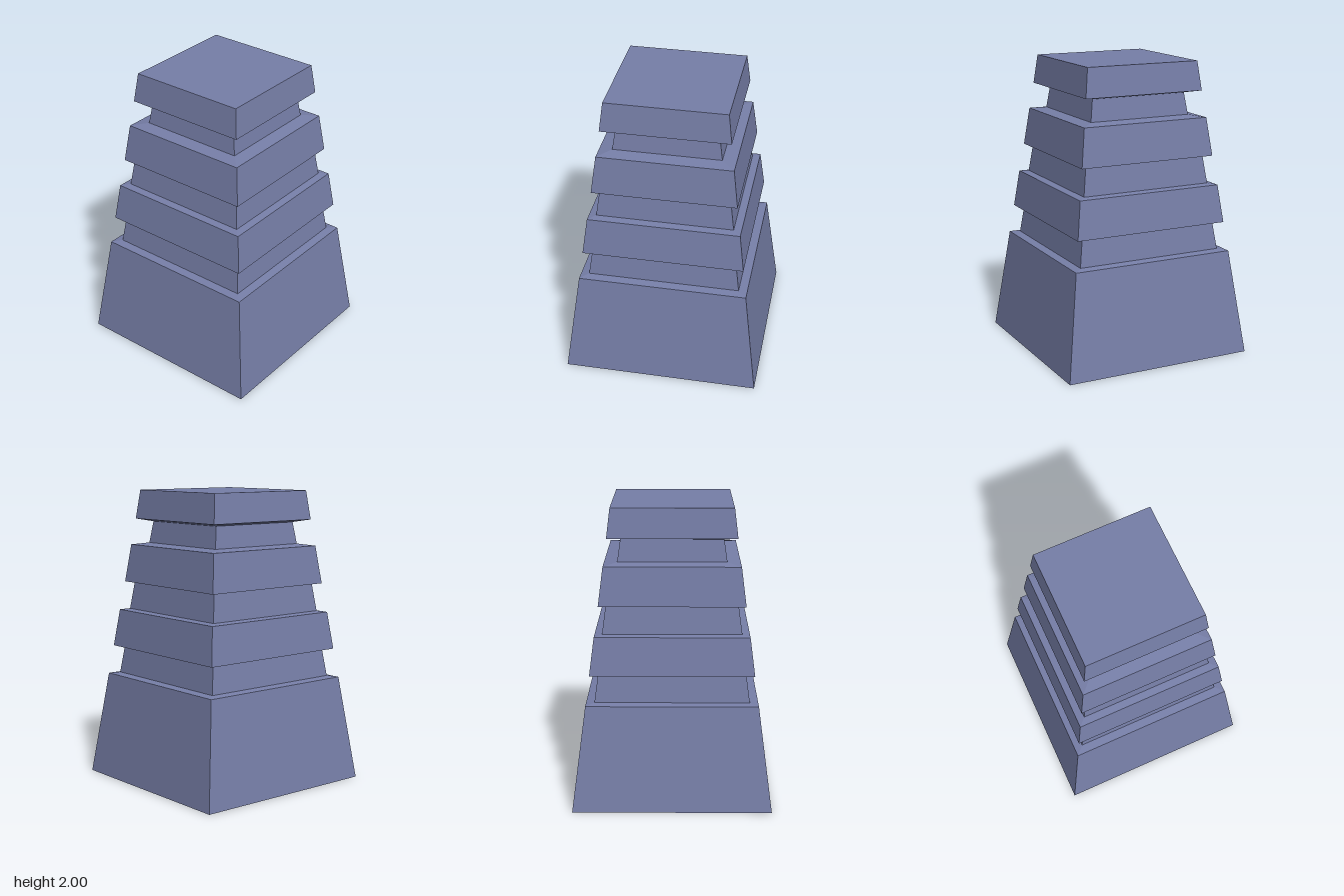
import * as THREE from 'three';

const material = new THREE.MeshStandardMaterial({ color: 0x767ea7, flatShading: true });

// Square tapered section: profile of [half width, height], bottom to top
function squareSection(name, profile) {
  const points = profile.map(([half, y]) => new THREE.Vector2(half * Math.SQRT2, y));
  const geometry = new THREE.LatheGeometry(points, 4, Math.PI / 4).toNonIndexed();
  geometry.computeVertexNormals();
  const mesh = new THREE.Mesh(geometry, material);
  mesh.name = name;
  return mesh;
}

export function createModel() {
  const group = new THREE.Group();
  group.name = 'steppedTower';

  // Each section starts where the previous one ends; slabs include their sloping ledges
  const sections = {
    base: [[0, 0], [0.665, 0], [0.571, 0.713], [0.514, 0.722]],
    lowerNeck: [[0.514, 0.722], [0.489, 0.905]],
    lowerSlab: [[0.489, 0.905], [0.544, 0.912], [0.511, 1.168], [0.46, 1.176]],
    middleNeck: [[0.46, 1.176], [0.435, 1.36]],
    middleSlab: [[0.435, 1.36], [0.483, 1.366], [0.45, 1.624], [0.36, 1.638]],
    upperNeck: [[0.36, 1.638], [0.339, 1.785]],
    topSlab: [[0.339, 1.785], [0.426, 1.803], [0.402, 2], [0, 2]],
  };
  for (const [name, profile] of Object.entries(sections)) {
    group.add(squareSection(name, profile));
  }
  return group;
}
